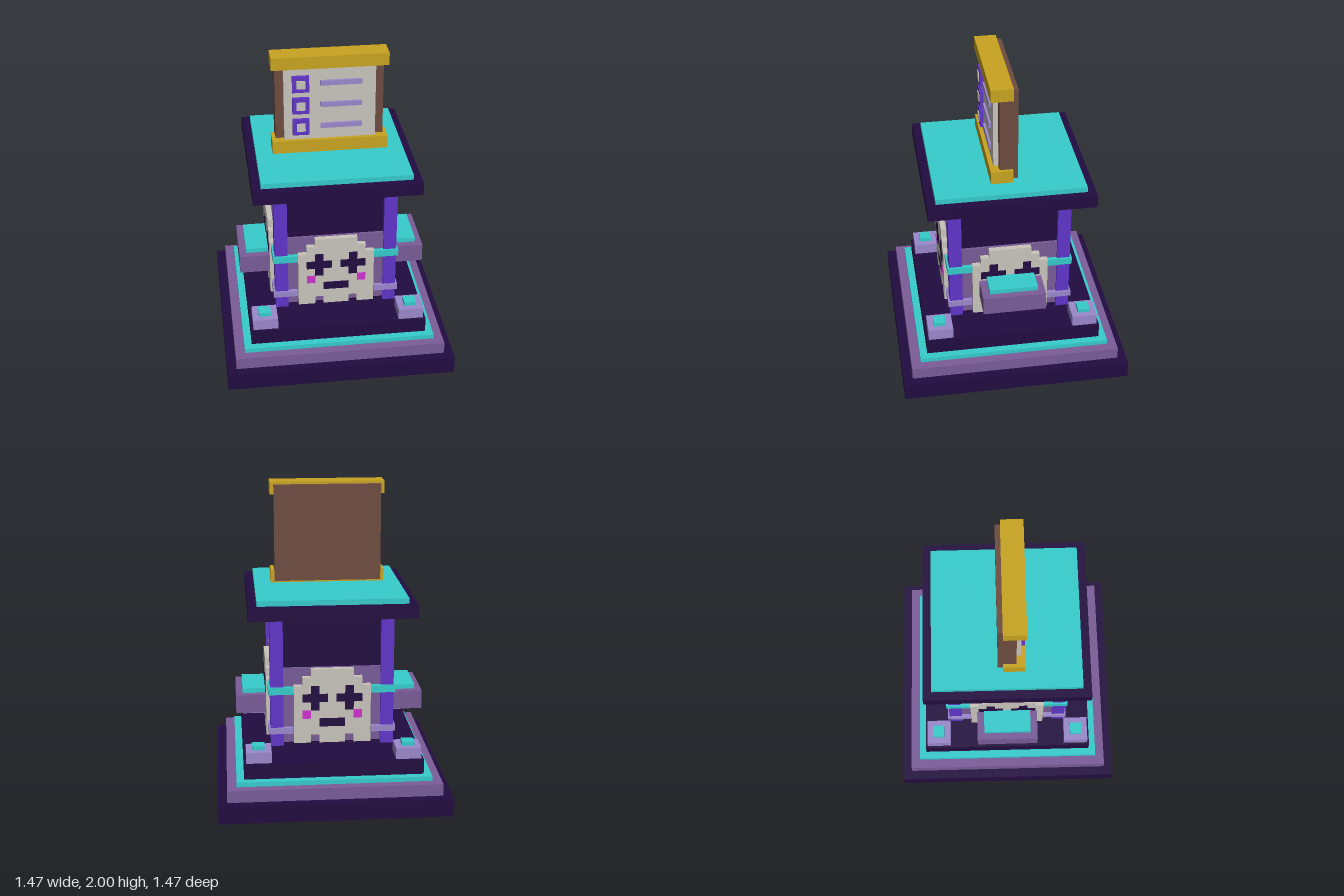
import * as THREE from 'three';

const COLORS = {
  midnight: 0x220c40, plum: 0x7a5c98, teal: 0x36cccc, lavender: 0x9a88cc, violet: 0x6035c8,
  gold: 0xc8a420, brown: 0x6e4c40, bone: 0xc8c4bc, magenta: 0xd030d0,
};

export function createModel() {
  const mats = {};
  for (const [name, color] of Object.entries(COLORS)) {
    mats[name] = new THREE.MeshStandardMaterial({ color });
    mats[name].name = name;
  }

  // Box given by its minimum and maximum on each axis
  function box(parent, name, mat, [x0, x1], [y0, y1], [z0, z1]) {
    const mesh = new THREE.Mesh(new THREE.BoxGeometry(x1 - x0, y1 - y0, z1 - z0), mats[mat]);
    mesh.position.set((x0 + x1) / 2, (y0 + y1) / 2, (z0 + z1) / 2);
    mesh.name = name;
    parent.add(mesh);
    return mesh;
  }
  // Square slab centred on the vertical axis
  const slab = (name, mat, half, y0, y1) =>
    box(model, name, mat, [-half, half], [y0, y1], [-half, half]);

  const model = new THREE.Group();
  model.name = 'shrine';

  // Stepped base
  slab('baseStep', 'midnight', 0.733, 0, 0.115);
  slab('middleStep', 'plum', 0.673, 0.115, 0.192);
  slab('tealStep', 'teal', 0.613, 0.192, 0.222);
  slab('topStep', 'midnight', 0.565, 0.222, 0.32);

  // Body and roof
  slab('core', 'midnight', 0.36, 0.37, 1.225);
  slab('roof', 'midnight', 0.523, 1.225, 1.306);
  slab('roofTop', 'teal', 0.469, 1.306, 1.34);

  // Corner posts with bands, and pads on the base
  for (const sx of [1, -1]) for (const sz of [1, -1]) {
    const corner = new THREE.Group();
    corner.name = 'corner';
    const span = (s, a, b) => (s > 0 ? [a, b] : [-b, -a]);
    const add = (name, mat, a, b, y0, y1) =>
      box(corner, name, mat, span(sx, a, b), [y0, y1], span(sz, a, b));
    add('post', 'violet', 0.307, 0.39, 0.372, 1.225);
    add('upperBand', 'teal', 0.243, 0.402, 0.715, 0.762);
    add('lowerBand', 'lavender', 0.247, 0.402, 0.455, 0.494);
    add('pad', 'lavender', 0.39, 0.55, 0.32, 0.392);
    add('padLight', 'teal', 0.433, 0.51, 0.392, 0.418);
    model.add(corner);
  }

  // Blocky mask on each wall, laid out on a grid of square cells
  const u = 0.054, yBase = 0.395;
  const maskOutline = [
    [4.5, 0], [4.5, 7], [3.5, 7], [3.5, 8], [2.5, 8], [2.5, 9],
    [-2.5, 9], [-2.5, 8], [-3.5, 8], [-3.5, 7], [-4.5, 7], [-4.5, 0],
    [-2.5, 0], [-2.5, 1], [-1.5, 1], [-1.5, 0], [1.5, 0], [1.5, 1], [2.5, 1], [2.5, 0],
  ].map(([x, y]) => new THREE.Vector2(x * u, yBase + y * u));
  const maskGeometry = new THREE.ExtrudeGeometry(new THREE.Shape(maskOutline),
    { depth: 0.05, bevelEnabled: false });

  for (let i = 0; i < 4; i++) {
    const wall = new THREE.Group();
    wall.name = 'wall';
    box(wall, 'wallPanel', 'plum', [-0.31, 0.31], [0.392, 0.883], [0.35, 0.376]);
    const mask = new THREE.Mesh(maskGeometry, mats.bone);
    mask.position.z = 0.361;
    mask.name = 'mask';
    wall.add(mask);
    const cells = (name, mat, x0, x1, y0, y1) => box(wall, name, mat,
      [x0 * u, x1 * u], [yBase + y0 * u, yBase + y1 * u], [0.409, 0.414]);
    for (const c of [-2, 2]) {
      cells('eyeBar', 'midnight', c - 1.5, c + 1.5, 5, 6);
      cells('eyeTop', 'midnight', c - 0.5, c + 0.5, 6, 7);
      cells('eyeBottom', 'midnight', c - 0.5, c + 0.5, 4, 5);
      cells('cheek', 'magenta', c * 1.5 - 0.5, c * 1.5 + 0.5, 3, 4);
    }
    cells('mouth', 'midnight', -1.5, 1.5, 2, 3);
    wall.rotation.y = i * Math.PI / 2;
    model.add(wall);
  }

  // Side ledges
  for (const s of [1, -1]) {
    const span = (a, b) => (s > 0 ? [a, b] : [-b, -a]);
    box(model, 'ledge', 'plum', span(0.4, 0.603), [0.532, 0.652], [-0.2, 0.2]);
    box(model, 'ledgeTop', 'teal', span(0.4, 0.56), [0.652, 0.682], [-0.154, 0.154]);
  }

  // Notice board above the roof
  const board = new THREE.Group();
  board.name = 'noticeBoard';
  box(board, 'backboard', 'brown', [-0.34, 0.34], [1.368, 1.983], [-0.056, 0.058]);
  box(board, 'paper', 'bone', [-0.287, 0.287], [1.42, 1.93], [0.05, 0.089]);
  box(board, 'bottomRail', 'gold', [-0.364, 0.364], [1.352, 1.434], [-0.024, 0.115]);
  box(board, 'topRail', 'gold', [-0.364, 0.364], [1.92, 2], [-0.024, 0.115]);
  for (const y of [1.525, 1.67, 1.816]) {
    box(board, 'checkbox', 'violet', [-0.235, -0.13], [y - 0.053, y + 0.053], [0.085, 0.112]);
    box(board, 'checkboxCentre', 'bone', [-0.21, -0.155], [y - 0.027, y + 0.027], [0.11, 0.118]);
    box(board, 'line', 'lavender', [-0.06, 0.2], [y - 0.016, y + 0.016], [0.085, 0.104]);
  }
  model.add(board);

  return model;
}
